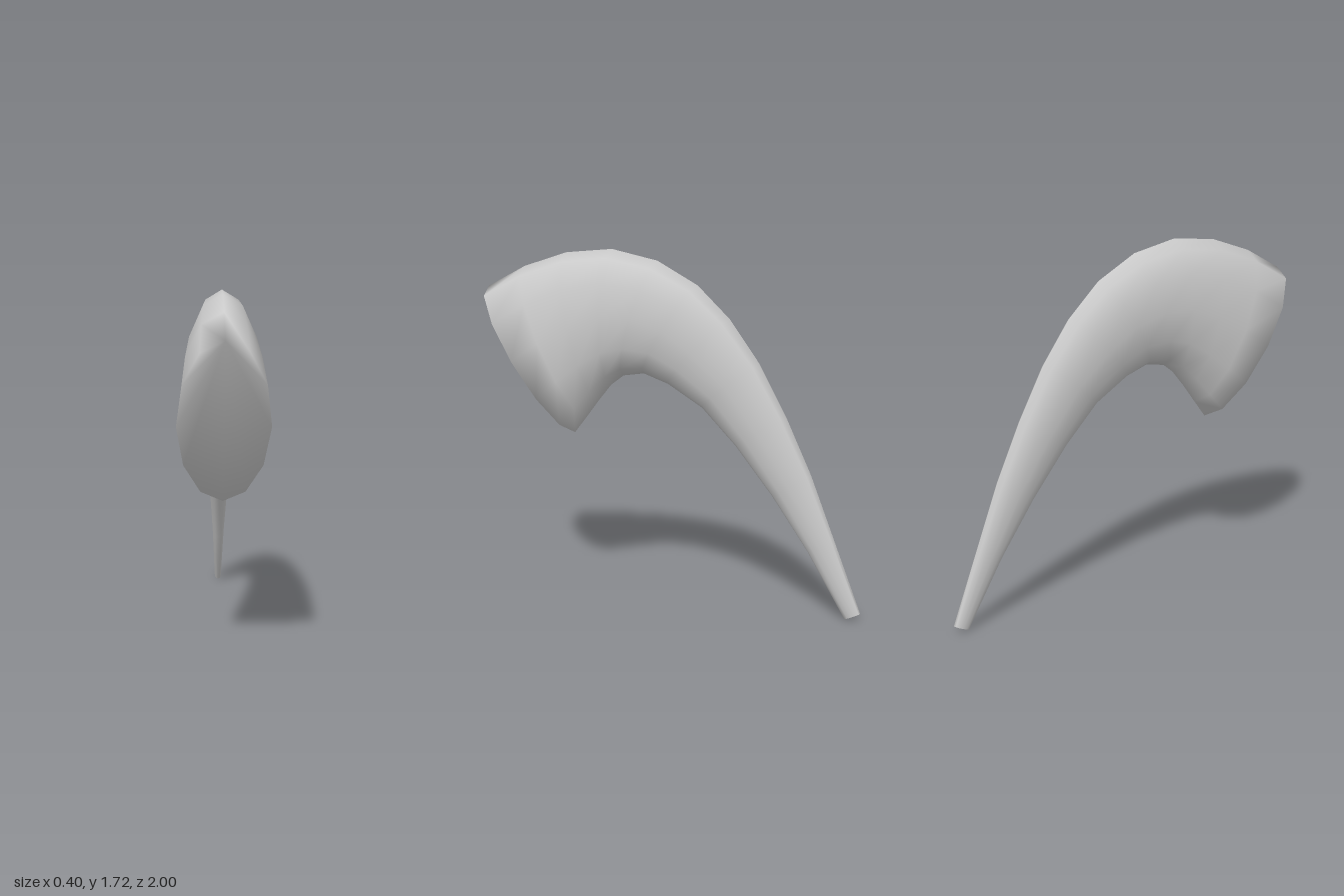
import * as THREE from 'three';

// Cross-sections from mouth to tip: [outer z, outer y, inner z, inner y]
const RINGS = [
  [1.0, 1.535, 0.5, 0.795],
  [0.78, 1.637, 0.43, 0.88],
  [0.535, 1.705, 0.36, 0.968],
  [0.28, 1.72, 0.29, 1.05],
  [0.035, 1.663, 0.22, 1.1],
  [-0.175, 1.547, 0.11, 1.115],
  [-0.34, 1.39, -0.02, 1.07],
  [-0.49, 1.185, -0.2, 0.963],
  [-0.625, 0.94, -0.373, 0.79],
  [-0.75, 0.675, -0.56, 0.562],
  [-0.87, 0.37, -0.74, 0.31],
  [-1.0, 0.04, -0.925, 0.005],
];
const SIDES = 12;
const FLATNESS = 0.447; // width of each oval relative to its height

// Curved, tapering horn lofted through oval rings, closed at both ends
function hornGeometry() {
  const positions = [];
  const index = [];
  for (const [oz, oy, iz, iy] of RINGS) {
    const halfWidth = FLATNESS * Math.hypot(oz - iz, oy - iy) / 2;
    for (let j = 0; j < SIDES; j++) {
      const t = (j / SIDES) * Math.PI * 2;
      const k = (1 + Math.cos(t)) / 2;
      positions.push(Math.sin(t) * halfWidth, iy + (oy - iy) * k, iz + (oz - iz) * k);
    }
  }

  // Wall between neighbouring rings
  for (let i = 0; i < RINGS.length - 1; i++) {
    for (let j = 0; j < SIDES; j++) {
      const a = i * SIDES + j;
      const b = i * SIDES + (j + 1) % SIDES;
      index.push(a, b, a + SIDES, b, b + SIDES, a + SIDES);
    }
  }

  // End caps share the rim vertices, so the shading rolls over the rims
  const last = (RINGS.length - 1) * SIDES;
  for (let j = 1; j < SIDES - 1; j++) {
    index.push(0, j + 1, j);
    index.push(last, last + j, last + j + 1);
  }

  const geometry = new THREE.BufferGeometry();
  geometry.setAttribute('position', new THREE.Float32BufferAttribute(positions, 3));
  geometry.setIndex(index);
  geometry.computeVertexNormals();
  return geometry;
}

export function createModel() {
  const group = new THREE.Group();
  group.name = 'curvedHorn';
  const horn = new THREE.Mesh(hornGeometry(), new THREE.MeshStandardMaterial({ color: 0xcccccc }));
  horn.name = 'horn';
  group.add(horn);
  return group;
}
